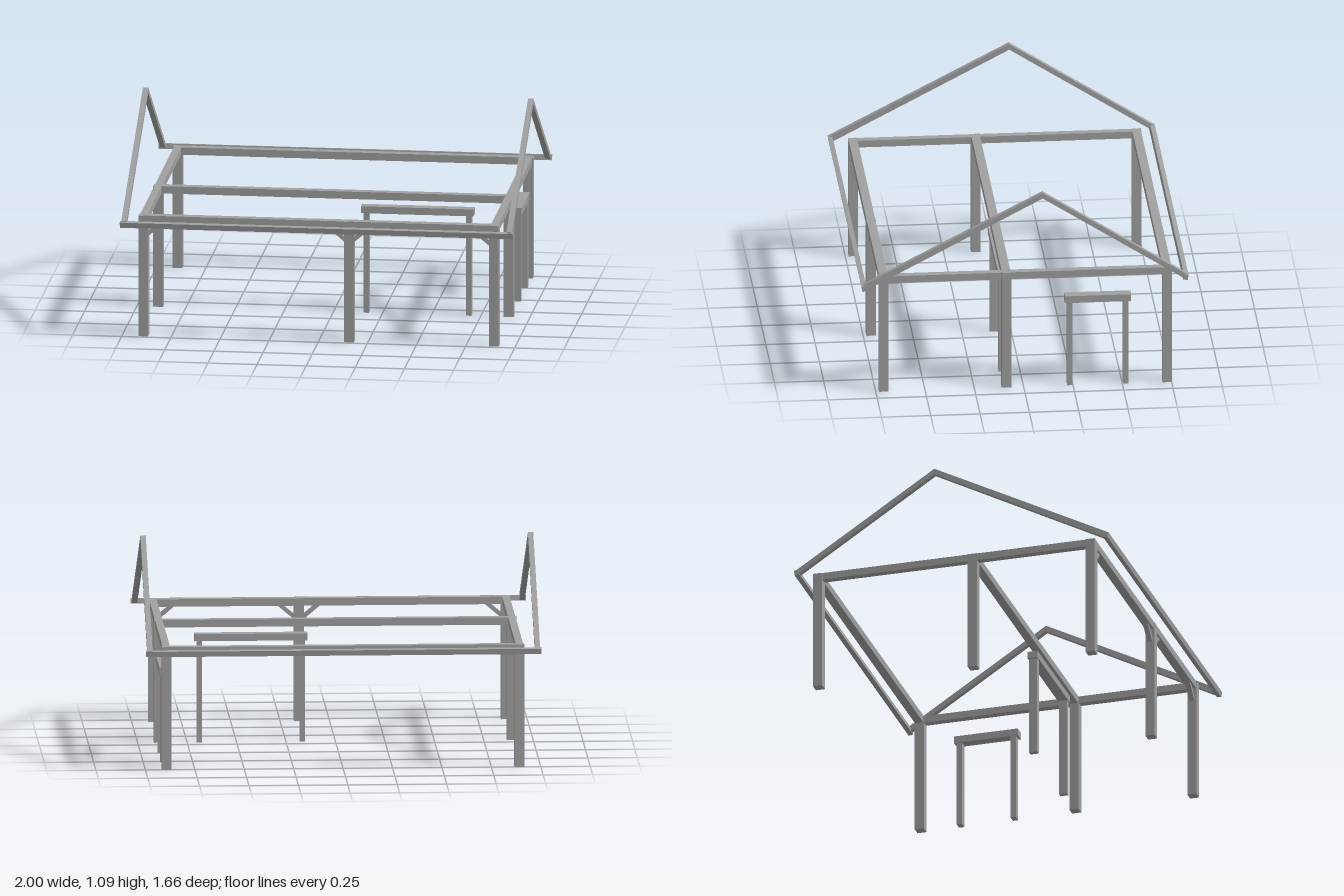
import * as THREE from 'three';

const timber = new THREE.MeshStandardMaterial({ color: 0xa0a0a0 });
timber.name = 'greyTimber';

export function createModel() {
  const model = new THREE.Group();
  model.name = 'timberFrame';

  const add = (geometry, name, parent = model) => {
    const mesh = new THREE.Mesh(geometry, timber);
    mesh.name = name;
    parent.add(mesh);
    return mesh;
  };
  // box from its lower and upper limits on each axis
  const box = (name, [x0, x1], [y0, y1], [z0, z1], parent) => {
    const mesh = add(new THREE.BoxGeometry(x1 - x0, y1 - y0, z1 - z0), name, parent);
    mesh.position.set((x0 + x1) / 2, (y0 + y1) / 2, (z0 + z1) / 2);
    return mesh;
  };
  const around = (c, size) => [c - size / 2, c + size / 2];

  const sideX = 0.892, midX = 0.155;
  const frontZ = 0.709, midZ = 0.087, backZ = -0.729;
  const beamY = [0.59, 0.628];

  // main posts
  const posts = [[midX, frontZ]];
  for (const s of [-1, 1]) for (const z of [frontZ, midZ, backZ]) posts.push([s * sideX, z]);
  for (const [x, z] of posts) box('post', around(x, 0.05), [0, 0.627], around(z, 0.048));

  // long beams across the width and short beams along the sides
  for (const z of [frontZ, midZ, backZ]) {
    const long = z === midZ ? 0.89 : 0.915;
    box('longBeam', [-long, long], beamY, around(z, 0.044));
  }
  for (const s of [-1, 1]) box('sideBeam', around(s * 0.893, 0.038), [0.591, 0.6275], [backZ, frontZ]);

  // diagonal braces under the front beam
  const brace = (x, dir) => {
    const shape = new THREE.Shape([[0, 0.52], [0.083, 0.59], [0.053, 0.59], [0, 0.546]]
      .map(([dx, y]) => new THREE.Vector2(x + dir * dx, y)));
    const g = new THREE.ExtrudeGeometry(shape, { depth: 0.026, bevelEnabled: false });
    add(g, 'brace').position.z = frontZ - 0.013;
  };
  brace(-0.868, 1);
  brace(midX - 0.025, -1);
  brace(midX + 0.025, 1);
  brace(0.868, -1);

  // opening frames: two jambs and a lintel, built along local x
  const opening = (name, width, top, lintelHeight) => {
    const frame = new THREE.Group();
    frame.name = name;
    const h = width / 2, under = top - lintelHeight;
    box('lintel', [-h, h], [under, top], around(0, 0.053), frame);
    for (const s of [-1, 1]) box('jamb', around(s * (h - 0.026), 0.028), [0, under], around(0, 0.042), frame);
    model.add(frame);
    return frame;
  };
  opening('innerOpening', 0.573, 0.555, 0.036).position.set(0.427, 0, midZ);
  const sideOpening = opening('sideOpening', 0.336, 0.489, 0.037);
  sideOpening.position.set(0.893, 0, -0.377);
  sideOpening.rotation.y = Math.PI / 2;

  // rafters: a bent strip with a pointed ridge, extruded across x
  const ridgeZ = -0.09;
  const outline = [[0.82, 0.617], [0.81, 0.587], [ridgeZ, 1.06], [-0.812, 0.595], [-0.82, 0.621], [ridgeZ, 1.09]];
  const rafterShape = new THREE.Shape(outline.map(([z, y]) => new THREE.Vector2(-z, y)));
  for (const s of [-1, 1]) {
    const g = new THREE.ExtrudeGeometry(rafterShape, { depth: 0.027, bevelEnabled: false });
    g.translate(0, 0, -0.0135);
    g.rotateY(Math.PI / 2);
    add(g, 'rafterPair').position.x = s * 0.98;
  }

  // eave rails, tilted slightly with the roof
  for (const [z, y, tilt] of [[0.815, 0.6, 0.17], [-0.815, 0.606, -0.17]]) {
    const rail = box('eaveRail', [-1, 1], around(y, 0.028), around(z, 0.024));
    rail.rotation.x = tilt;
  }

  return model;
}
